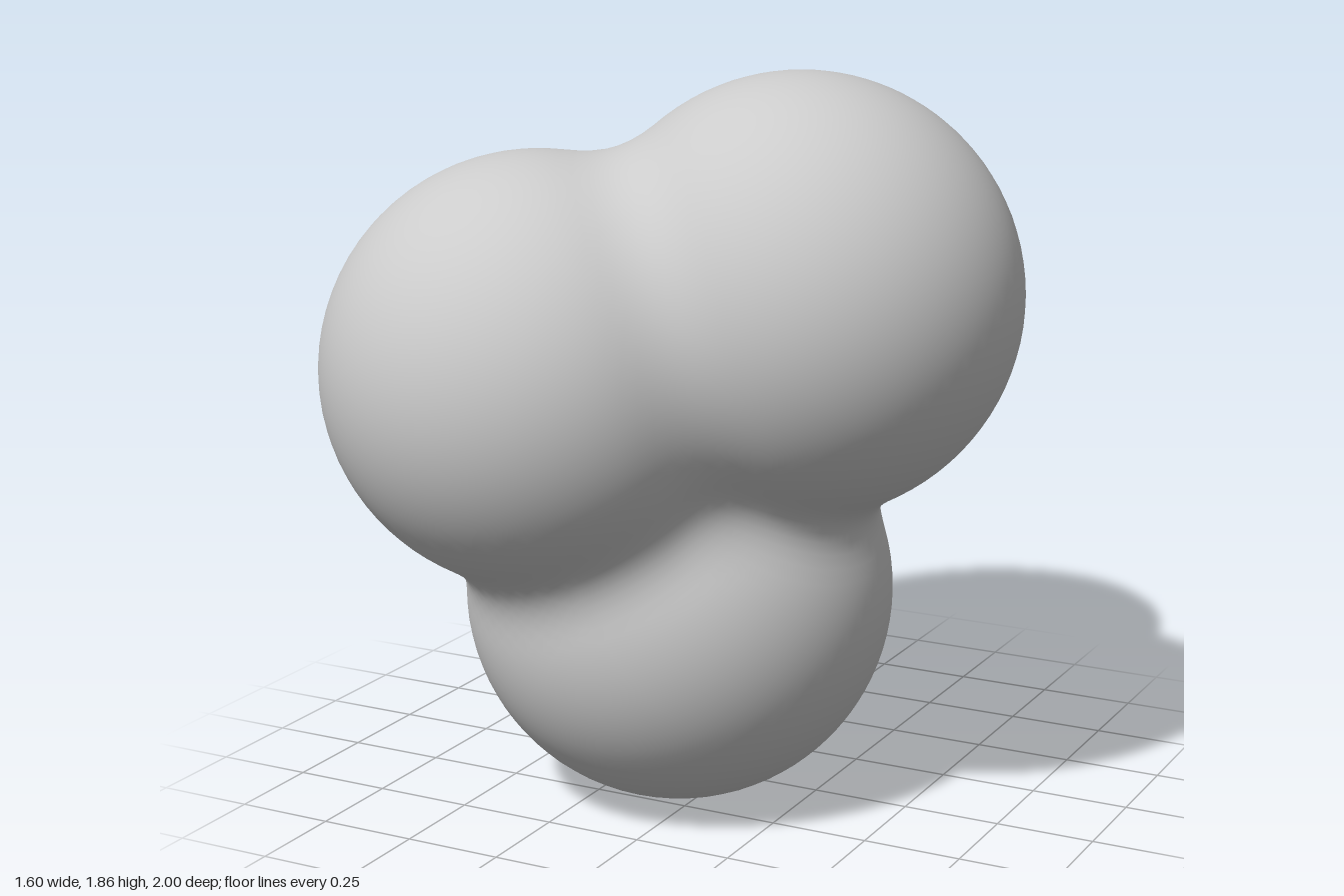
import * as THREE from 'three';
import { mergeVertices } from 'three/addons/utils/BufferGeometryUtils.js';

// Four overlapping lobes: centre and radius
const lobes = [
  { c: new THREE.Vector3(-0.27, 1.15, 0.47), r: 0.53 }, // front
  { c: new THREE.Vector3(0.26, 1.32, 0.13), r: 0.54 },  // top left
  { c: new THREE.Vector3(-0.05, 1.15, -0.46), r: 0.54 }, // back
  { c: new THREE.Vector3(-0.08, 0.54, 0.12), r: 0.54 },  // bottom
];
const core = new THREE.Vector3(-0.05, 1.02, 0.03); // lies inside every lobe
const BLEND = 0.13;

// Smooth minimum rounds the creases between lobes
function smoothMin(a, b) {
  const h = Math.max(BLEND - Math.abs(a - b), 0) / BLEND;
  return Math.min(a, b) - h * h * BLEND / 4;
}

function distance(p) {
  return lobes.map(({ c, r }) => p.distanceTo(c) - r).reduce(smoothMin);
}

// Distance from the core to the blended surface along a direction
function reach(dir) {
  const p = new THREE.Vector3();
  let lo = 0, hi = 1.6;
  for (let i = 0; i < 24; i++) {
    const mid = (lo + hi) / 2;
    if (distance(p.copy(core).addScaledVector(dir, mid)) < 0) lo = mid;
    else hi = mid;
  }
  return lo;
}

export function createModel() {
  const group = new THREE.Group();
  group.name = 'blobCluster';

  // A welded icosphere pushed out to the blended surface
  let geo = new THREE.IcosahedronGeometry(1, 26);
  geo.deleteAttribute('uv');
  geo.deleteAttribute('normal');
  geo = mergeVertices(geo, 1e-4);
  const pos = geo.attributes.position;
  const dir = new THREE.Vector3();
  for (let i = 0; i < pos.count; i++) {
    dir.fromBufferAttribute(pos, i).normalize();
    const p = dir.clone().multiplyScalar(reach(dir)).add(core);
    pos.setXYZ(i, p.x, p.y, p.z);
  }
  geo.computeVertexNormals();

  const mesh = new THREE.Mesh(geo, new THREE.MeshStandardMaterial({ color: 0xcccccc }));
  mesh.name = 'fourLobedBody';
  group.add(mesh);
  return group;
}
